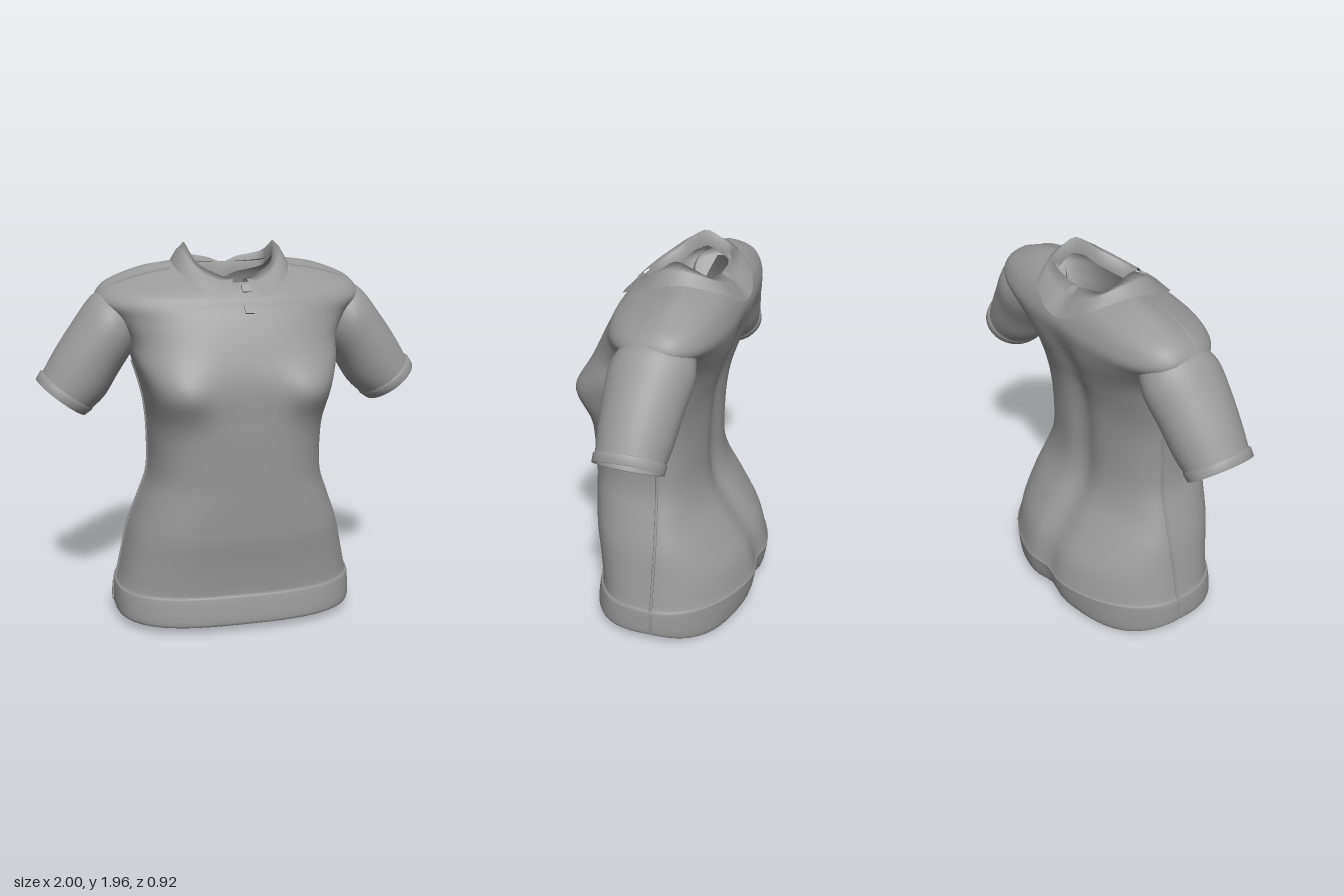
import * as THREE from 'three';

const fabric = new THREE.MeshStandardMaterial({ color: 0x999999, side: THREE.DoubleSide });
fabric.name = 'grey fabric';

// Smoothly resample a list of key rows
function resample(keys, steps) {
  const out = [], last = keys.length - 1;
  for (let k = 0; k <= last * steps; k++) {
    const i = Math.min(Math.floor(k / steps), last - 1), t = k / steps - i;
    const row = (n) => keys[Math.max(0, Math.min(last, n))];
    out.push(keys[0].map((_, c) => {
      const p0 = row(i - 1)[c], p1 = row(i)[c], p2 = row(i + 1)[c], p3 = row(i + 2)[c];
      return p1 + 0.5 * t * (p2 - p0 + t * (2 * p0 - 5 * p1 + 4 * p2 - p3 + t * (3 * (p1 - p2) + p3 - p0)));
    }));
  }
  return out;
}

// Skin a grid of points; skip() leaves openings
function loft(rows, closed, skip = () => false) {
  const n = rows[0].length, pos = rows.flat(2), index = [];
  for (let i = 0; i < rows.length - 1; i++) {
    for (let j = 0; j < (closed ? n : n - 1); j++) {
      if (skip(rows[i][j])) continue;
      const k = (j + 1) % n, a = i * n + j, b = i * n + k, c = b + n, d = a + n;
      index.push(a, c, b, a, d, c);
    }
  }
  const g = new THREE.BufferGeometry();
  g.setAttribute('position', new THREE.Float32BufferAttribute(pos, 3));
  g.setIndex(index);
  g.computeVertexNormals();
  return g;
}

function part(name, geometry) {
  const m = new THREE.Mesh(geometry, fabric);
  m.name = name;
  return m;
}

function seam(name, points, radius) {
  const curve = new THREE.CatmullRomCurve3(points.map((p) => new THREE.Vector3(...p)));
  return part(name, new THREE.TubeGeometry(curve, 40, radius, 6));
}

// Torso sections: half width, side y, side z, front y, front z, back y, back z
const torsoKeys = [
  [0.60, 0.16, -0.03, 0.15, 0.34, 0.15, -0.41],
  [0.62, 0.055, -0.03, 0.045, 0.36, 0.045, -0.40],
  [0.64, 0.065, -0.03, 0.05, 0.385, 0.06, -0.44],
  [0.635, 0.185, -0.03, 0.18, 0.368, 0.18, -0.465],
  [0.622, 0.205, -0.03, 0.20, 0.357, 0.20, -0.46],
  [0.59, 0.35, -0.03, 0.35, 0.375, 0.35, -0.42],
  [0.555, 0.50, -0.03, 0.50, 0.40, 0.50, -0.325],
  [0.50, 0.65, -0.02, 0.65, 0.41, 0.65, -0.23],
  [0.45, 0.80, -0.01, 0.80, 0.415, 0.80, -0.195],
  [0.445, 1.00, -0.01, 1.00, 0.425, 1.00, -0.195],
  [0.455, 1.15, -0.02, 1.13, 0.425, 1.15, -0.205],
  [0.48, 1.27, -0.03, 1.26, 0.42, 1.27, -0.225],
  [0.52, 1.40, -0.03, 1.38, 0.405, 1.38, -0.26],
  [0.54, 1.50, -0.04, 1.50, 0.365, 1.50, -0.30],
  [0.61, 1.60, -0.05, 1.60, 0.32, 1.60, -0.32],
  [0.685, 1.68, -0.07, 1.66, 0.285, 1.66, -0.325],
  [0.66, 1.745, -0.08, 1.70, 0.265, 1.71, -0.315],
  [0.59, 1.79, -0.09, 1.725, 0.245, 1.75, -0.30],
  [0.45, 1.84, -0.09, 1.75, 0.22, 1.79, -0.275],
  [0.32, 1.862, -0.08, 1.765, 0.195, 1.82, -0.24],
  [0.245, 1.875, -0.07, 1.775, 0.165, 1.835, -0.205],
];

function torsoRow([w, yS, zS, yF, zF, yB, zB]) {
  const row = [], count = 72, { smoothstep } = THREE.MathUtils;
  // boxy chest, softer shoulders in front, squarer shoulders behind
  const upper = smoothstep(yS, 1.4, 1.66);
  const frontPower = 2.9 - 0.6 * upper + 1.1 * Math.exp(-(((yS - 1.27) / 0.16) ** 2));
  const backPower = 2 + 0.8 * upper;
  for (let j = 0; j < count; j++) {
    const a = (j / count) * Math.PI * 2, c = Math.cos(a), s = Math.sin(a), front = s >= 0;
    const e = 2 / (front ? frontPower : backPower);
    const x = w * Math.sign(c) * Math.abs(c) ** e, f = Math.abs(s) ** e;
    let y = yS + (front ? (yF - yS) * f : (yB - yS) * f ** 1.4);
    let z = zS + ((front ? zF : zB) - zS) * f;
    if (front) {
      // bust
      z += 0.065 * f * Math.exp(-(((Math.abs(x) - 0.33) / 0.16) ** 2) - ((y - 1.27) / 0.11) ** 2);
    } else {
      // spine hollow and dipping back hem
      z += 0.035 * f * Math.exp(-((x / 0.09) ** 2)) * smoothstep(1.7 - y, 0, 0.25);
      y -= 0.045 * Math.sin(2 * a) ** 2 * (1 - smoothstep(yS, 0.07, 0.18));
    }
    row.push([x, y, z]);
  }
  return row;
}

// Openings where the sleeves join, limited to the part the sleeves cover
function inArmhole([x, y, z]) {
  const dx = Math.abs(x) - 0.605, dy = y - 1.555;
  const across = dx * 0.78 + dy * 0.62, along = dx * 0.62 - dy * 0.78;
  return along > -0.07 && dx > -0.1 && (across / 0.12) ** 2 + ((z + 0.06) / 0.13) ** 2 < 1;
}

// Sleeve sections: top x, top y, bottom x, bottom y, front z, back z
const sleeveKeys = [
  [0.61, 1.755, 0.47, 1.50, 0.10, -0.24],
  [0.708, 1.695, 0.51, 1.42, 0.15, -0.255],
  [0.81, 1.565, 0.585, 1.31, 0.155, -0.23],
  [0.90, 1.435, 0.655, 1.20, 0.15, -0.21],
  [0.965, 1.325, 0.725, 1.135, 0.14, -0.19],
];
const cuffKeys = [
  [0.96, 1.33, 0.72, 1.14, 0.14, -0.19],
  [0.975, 1.332, 0.725, 1.128, 0.147, -0.198],
  [0.998, 1.295, 0.758, 1.105, 0.145, -0.195],
  [0.985, 1.285, 0.768, 1.115, 0.135, -0.185],
  [0.95, 1.32, 0.735, 1.15, 0.13, -0.18],
];

function sleeveRow([tx, ty, bx, by, zf, zb]) {
  const row = [];
  for (let j = 0; j < 32; j++) {
    const a = (j / 32) * Math.PI * 2, c = Math.cos(a) / 2;
    row.push([(tx + bx) / 2 + (tx - bx) * c, (ty + by) / 2 + (ty - by) * c,
      (zf + zb) / 2 - (zf - zb) / 2 * Math.sin(a)]);
  }
  return row;
}

// Collar rim and outer edge, from front centre round to back centre
const rim = [[0.02, 1.79, 0.165], [0.10, 1.815, 0.14], [0.19, 1.865, 0.07], [0.23, 1.955, -0.04],
  [0.228, 1.92, -0.14], [0.20, 1.885, -0.20], [0.08, 1.86, -0.215], [0, 1.835, -0.20]];
const edge = [[0.05, 1.763, 0.228], [0.10, 1.712, 0.276], [0.20, 1.762, 0.205], [0.285, 1.828, 0.06],
  [0.295, 1.864, -0.10], [0.22, 1.815, -0.272], [0.11, 1.745, -0.33], [0, 1.72, -0.34]];

function collarGeometry() {
  const both = (half) => resample([...half, ...half.slice(0, -1).reverse().map(([x, y, z]) => [-x, y, z])], 4);
  const top = both(rim), outer = both(edge);
  const inner = top.map(([x, y, z]) => [x * 0.98, y - 0.08, z * 0.98]);
  const fold = top.map((p, i) => p.map((v, c) => v + (outer[i][c] - v) * 0.45 + (c === 1 ? 0.02 : 0)));
  return loft([inner, top, fold, outer], false);
}

export function createModel() {
  const shirt = new THREE.Group();
  shirt.name = 'shirt';

  const rows = resample(torsoKeys, 4).map(torsoRow);
  shirt.add(part('torso', loft(rows, true, inArmhole)));
  shirt.add(part('collar', collarGeometry()));

  // One side: sleeve, cuff and seams, then mirrored
  for (const side of [1, -1]) {
    const half = new THREE.Group();
    half.name = side > 0 ? 'leftSide' : 'rightSide';
    half.add(part('sleeve', loft(resample(sleeveKeys, 5).map(sleeveRow), true)));
    half.add(part('cuff', loft(cuffKeys.map(sleeveRow), true)));
    const sidePoints = rows.slice(8).map((r) => r[0]).filter((p) => p[1] < 1.4);
    half.add(seam('sideSeam', sidePoints, 0.008));
    half.add(seam('shoulderSeam', [[0.31, 1.833, 0], [0.437, 1.813, 0], [0.575, 1.771, 0], [0.645, 1.732, 0]], 0.009));
    half.scale.x = side;
    shirt.add(half);
  }

  // Buttons below the collar opening
  for (const [y, z] of [[1.75, 0.222], [1.655, 0.287]]) {
    const button = part('button', new THREE.BoxGeometry(0.045, 0.04, 0.02));
    button.position.set(0.025, y, z);
    button.rotation.x = -0.6;
    shirt.add(button);
  }
  return shirt;
}
